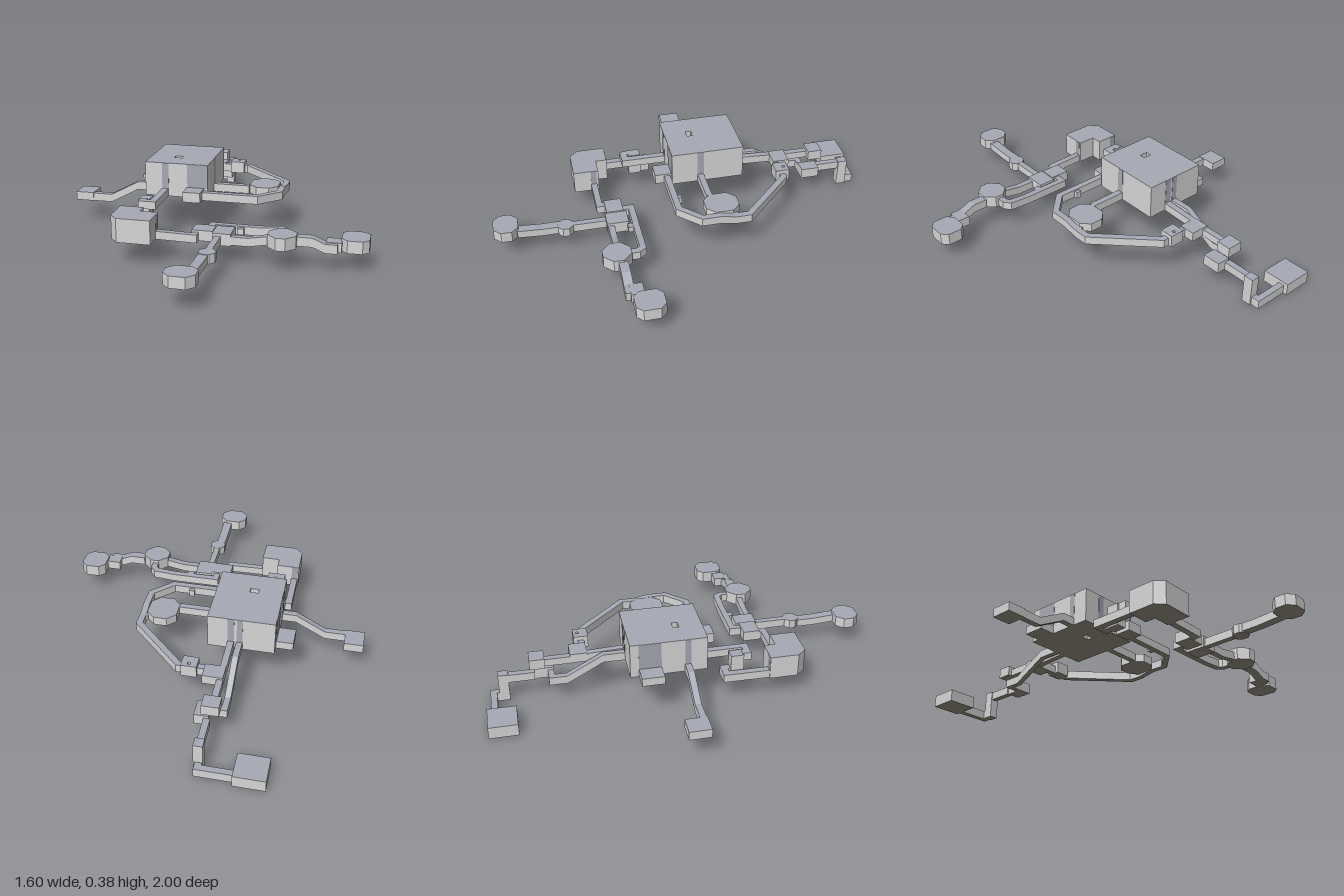
import * as THREE from 'three';

const wall = new THREE.MeshStandardMaterial({ color: 0xd7d7d7 });
wall.name = 'wall grey';
const ceiling = new THREE.MeshStandardMaterial({ color: 0xa7a9b5 });
ceiling.name = 'ceiling blue grey';
const floor = new THREE.MeshStandardMaterial({ color: 0x9f9789 });
floor.name = 'floor tan';
const materials = [wall, ceiling, floor];

// Flat facets, sorted into wall, ceiling and floor by the way each one faces
function paint(geometry, name) {
  const geo = geometry.index ? geometry.toNonIndexed() : geometry;
  geo.computeVertexNormals();
  geo.clearGroups();
  const normal = geo.attributes.normal;
  for (let i = 0; i < normal.count; i += 3) {
    const ny = normal.getY(i);
    geo.addGroup(i, 3, ny > 0.5 ? 1 : ny < -0.5 ? 2 : 0);
  }
  const mesh = new THREE.Mesh(geo, materials);
  mesh.name = name;
  return mesh;
}

// Upright prism over a plan outline of [x, z] points
function prism(name, plan, y0, y1, hole) {
  const toPoints = (list) => list.map(([x, z]) => new THREE.Vector2(x, -z));
  const shape = new THREE.Shape(toPoints(plan));
  if (hole) shape.holes.push(new THREE.Path(toPoints(hole).reverse()));
  const geo = new THREE.ExtrudeGeometry(shape, { depth: y1 - y0, bevelEnabled: false });
  geo.rotateX(-Math.PI / 2);
  geo.translate(0, y0, 0);
  return paint(geo, name);
}

const rect = (x0, x1, z0, z1) => [[x0, z0], [x1, z0], [x1, z1], [x0, z1]];

// Rectangle with cut corners
function octagon(x0, x1, z0, z1, c) {
  return [[x0 + c, z0], [x1 - c, z0], [x1, z0 + c], [x1, z1 - c],
    [x1 - c, z1], [x0 + c, z1], [x0, z1 - c], [x0, z0 + c]];
}

// Mitred square passage along [x, z, floor height] points
function corridor(name, path, width = 0.032, height = 0.042) {
  const dir = (a, b) => new THREE.Vector2(b[0] - a[0], b[1] - a[1]).normalize();
  const rings = path.map((p, i) => {
    const d0 = i > 0 ? dir(path[i - 1], p) : dir(p, path[1]);
    const d1 = i < path.length - 1 ? dir(p, path[i + 1]) : d0;
    const n0 = new THREE.Vector2(-d0.y, d0.x);
    const n1 = new THREE.Vector2(-d1.y, d1.x);
    const m = n0.clone().add(n1).normalize();
    m.multiplyScalar(width / 2 / m.dot(n0));
    const [x, z, y] = p;
    return [[x + m.x, y, z + m.y], [x - m.x, y, z - m.y],
      [x - m.x, y + height, z - m.y], [x + m.x, y + height, z + m.y]];
  });
  const pos = [];
  const quad = (a, b, c, d) => pos.push(...a, ...b, ...c, ...a, ...c, ...d);
  for (let i = 0; i < rings.length - 1; i++) {
    for (let k = 0; k < 4; k++) {
      const j = (k + 1) % 4;
      quad(rings[i][k], rings[i][j], rings[i + 1][j], rings[i + 1][k]);
    }
  }
  const s = rings[0], e = rings[rings.length - 1];
  quad(s[3], s[2], s[1], s[0]);
  quad(e[0], e[1], e[2], e[3]);
  const geo = new THREE.BufferGeometry();
  geo.setAttribute('position', new THREE.Float32BufferAttribute(pos, 3));
  return paint(geo, name);
}

// Thin wall panel above a doorway
function lintel(x0, x1, y0, y1, z0, z1) {
  const t = 0.003;
  const w = Math.max(x1 - x0, t), d = Math.max(z1 - z0, t);
  const mesh = new THREE.Mesh(new THREE.BoxGeometry(w, y1 - y0, d), ceiling);
  mesh.position.set((x0 + x1) / 2, (y0 + y1) / 2, (z0 + z1) / 2);
  mesh.name = 'doorPanel';
  return mesh;
}

export function createModel() {
  const model = new THREE.Group();
  model.name = 'undergroundRooms';

  // Great hall with a small shaft through it
  model.add(prism('greatHall', rect(-0.38, -0.048, -0.312, 0.065), 0.198, 0.375,
    rect(-0.257, -0.214, -0.08, -0.05)));

  // Panels above the hall's doors: front, back, left, right
  for (const [a, b, y] of [[-0.29, -0.255, 0.24], [-0.156, -0.048, 0.25]])
    model.add(lintel(a, b, y, 0.374, 0.065, 0.065));
  for (const [a, b] of [[-0.222, -0.193], [-0.18, -0.148]])
    model.add(lintel(a, b, 0.24, 0.374, -0.312, -0.312));
  for (const [a, b] of [[-0.045, -0.015], [-0.27, -0.16]])
    model.add(lintel(-0.38, -0.38, 0.24, 0.374, a, b));
  model.add(lintel(-0.048, -0.048, 0.24, 0.374, -0.102, -0.068));

  // Plain rectangular rooms: name, x range, z range, y range
  const rooms = [
    ['sideCloset', -0.465, -0.38, -0.27, -0.16, 0.198, 0.24],
    ['westRoom', -0.8, -0.703, -0.12, -0.012, 0.115, 0.16],
    ['porchRoom', -0.158, -0.068, 0.065, 0.152, 0.2, 0.252],
    ['stairRoom', -0.357, -0.303, 0.19, 0.255, 0.12, 0.235],
    ['guardRoom', -0.037, 0.065, 0.345, 0.432, 0.107, 0.16],
    ['crossingRoom', 0.065, 0.155, 0.332, 0.442, 0.095, 0.155],
    ['eastLanding', 0.6, 0.674, 0.347, 0.412, 0.097, 0.145],
    ['loopNub', 0.1, 0.127, 0.053, 0.074, 0.2, 0.235],
    ['galleryNub', 0.165, 0.198, 0.312, 0.342, 0.12, 0.15],
    ['roundRoomNub', 0.286, 0.302, -0.19, -0.155, 0.2, 0.225],
    ['northRoom', -0.178, -0.078, -0.578, -0.493, 0.187, 0.235],
    ['upperNorthRoom', -0.2, -0.117, -0.778, -0.703, 0.187, 0.24],
    ['lowerNorthRoom', -0.148, -0.078, -0.755, -0.66, 0.1, 0.155],
    ['deepShaft', -0.16, -0.115, -0.935, -0.885, 0, 0.147],
    ['deepRoom', -0.455, -0.303, -1, -0.858, 0, 0.062],
  ];
  for (const [name, x0, x1, z0, z1, y0, y1] of rooms)
    model.add(prism(name, rect(x0, x1, z0, z1), y0, y1));

  // Loop room with a small shaft
  model.add(prism('loopRoom', rect(-0.045, 0.032, -0.545, -0.473), 0.187, 0.25,
    rect(-0.012, 0.002, -0.53, -0.515)));

  // Tall angled room and the panels above its doors
  model.add(prism('angledRoom', [[-0.41, 0.375], [-0.293, 0.375], [-0.293, 0.432],
    [-0.203, 0.432], [-0.203, 0.562], [-0.37, 0.562], [-0.41, 0.518]], 0.115, 0.235));
  model.add(lintel(-0.203, -0.203, 0.155, 0.234, 0.442, 0.472));
  model.add(lintel(-0.405, -0.373, 0.16, 0.234, 0.375, 0.375));

  // Eight-sided rooms: name, x range, z range, corner cut, y range
  const roundRooms = [
    ['hallRoundRoom', 0.142, 0.292, -0.213, -0.043, 0.042, 0.198, 0.243],
    ['eastRoundRoom', 0.332, 0.468, 0.362, 0.502, 0.045, 0.115, 0.178],
    ['farEastRoom', 0.669, 0.8, 0.266, 0.407, 0.03, 0.095, 0.157],
    ['southWaypoint', 0.053, 0.132, 0.607, 0.683, 0.022, 0.097, 0.143],
    ['southRoom', -0.022, 0.122, 0.877, 1, 0.035, 0.107, 0.163],
  ];
  for (const [name, x0, x1, z0, z1, c, y0, y1] of roundRooms)
    model.add(prism(name, octagon(x0, x1, z0, z1, c), y0, y1));

  // Passages around the hall
  model.add(corridor('westPassage', [[-0.705, -0.031, 0.115], [-0.6, -0.031, 0.115],
    [-0.45, -0.031, 0.196], [-0.38, -0.031, 0.196]]));
  model.add(corridor('hallPassage', [[-0.048, -0.085, 0.198], [0.142, -0.085, 0.198]]));
  model.add(corridor('loopPassage', [[-0.068, 0.089, 0.2], [0.213, 0.089, 0.2],
    [0.313, -0.01, 0.2], [0.313, -0.1, 0.2], [0.313, -0.18, 0.185], [0.313, -0.25, 0.185],
    [0.053, -0.509, 0.187], [0.03, -0.509, 0.187]]));
  model.add(corridor('loopLink', [[-0.045, -0.509, 0.187], [-0.08, -0.509, 0.187]]));

  // Northern passages
  model.add(corridor('northPassage', [[-0.164, -0.31, 0.198], [-0.164, -0.493, 0.19]]));
  model.add(corridor('northLink', [[-0.164, -0.578, 0.187], [-0.164, -0.703, 0.187]],
    0.032, 0.038));
  model.add(corridor('northRamp', [[-0.207, -0.31, 0.198], [-0.207, -0.42, 0.198],
    [-0.207, -0.6, 0.1], [-0.207, -0.675, 0.1], [-0.148, -0.675, 0.1]], 0.03));
  model.add(corridor('shaftPassage', [[-0.14, -0.755, 0.1], [-0.14, -0.89, 0.1]]));
  model.add(corridor('deepPassage', [[-0.14, -0.93, 0], [-0.14, -0.963, 0],
    [-0.303, -0.963, 0]], 0.032, 0.045));

  // Passages down to the angled room
  model.add(corridor('frontPassage', [[-0.275, 0.065, 0.198], [-0.275, 0.278, 0.198],
    [-0.33, 0.278, 0.198], [-0.33, 0.25, 0.198]], 0.034, 0.04));
  model.add(corridor('lowerFrontPassage', [[-0.332, 0.2, 0.12], [-0.332, 0.16, 0.12],
    [-0.388, 0.16, 0.12], [-0.388, 0.375, 0.118]], 0.034));

  // Front passages
  model.add(corridor('guardPassage', [[-0.203, 0.458, 0.113], [-0.018, 0.458, 0.11],
    [-0.018, 0.43, 0.11]], 0.032, 0.04));
  model.add(corridor('gallery', [[0.037, 0.345, 0.112], [0.037, 0.301, 0.112],
    [0.27, 0.301, 0.112], [0.372, 0.301, 0.12], [0.392, 0.327, 0.12], [0.392, 0.37, 0.12]]));
  model.add(corridor('crossPassage', [[0.155, 0.422, 0.1], [0.24, 0.422, 0.1],
    [0.34, 0.422, 0.118]]));
  model.add(corridor('eastPassage', [[0.465, 0.412, 0.122], [0.54, 0.412, 0.122],
    [0.6, 0.412, 0.097], [0.657, 0.412, 0.097]], 0.046, 0.045));
  model.add(corridor('southPassage', [[0.092, 0.442, 0.1], [0.092, 0.61, 0.1]]));
  model.add(corridor('farSouthPassage', [[0.081, 0.675, 0.1], [0.081, 0.76, 0.1],
    [0.081, 0.885, 0.108]], 0.047, 0.04));

  return model;
}
